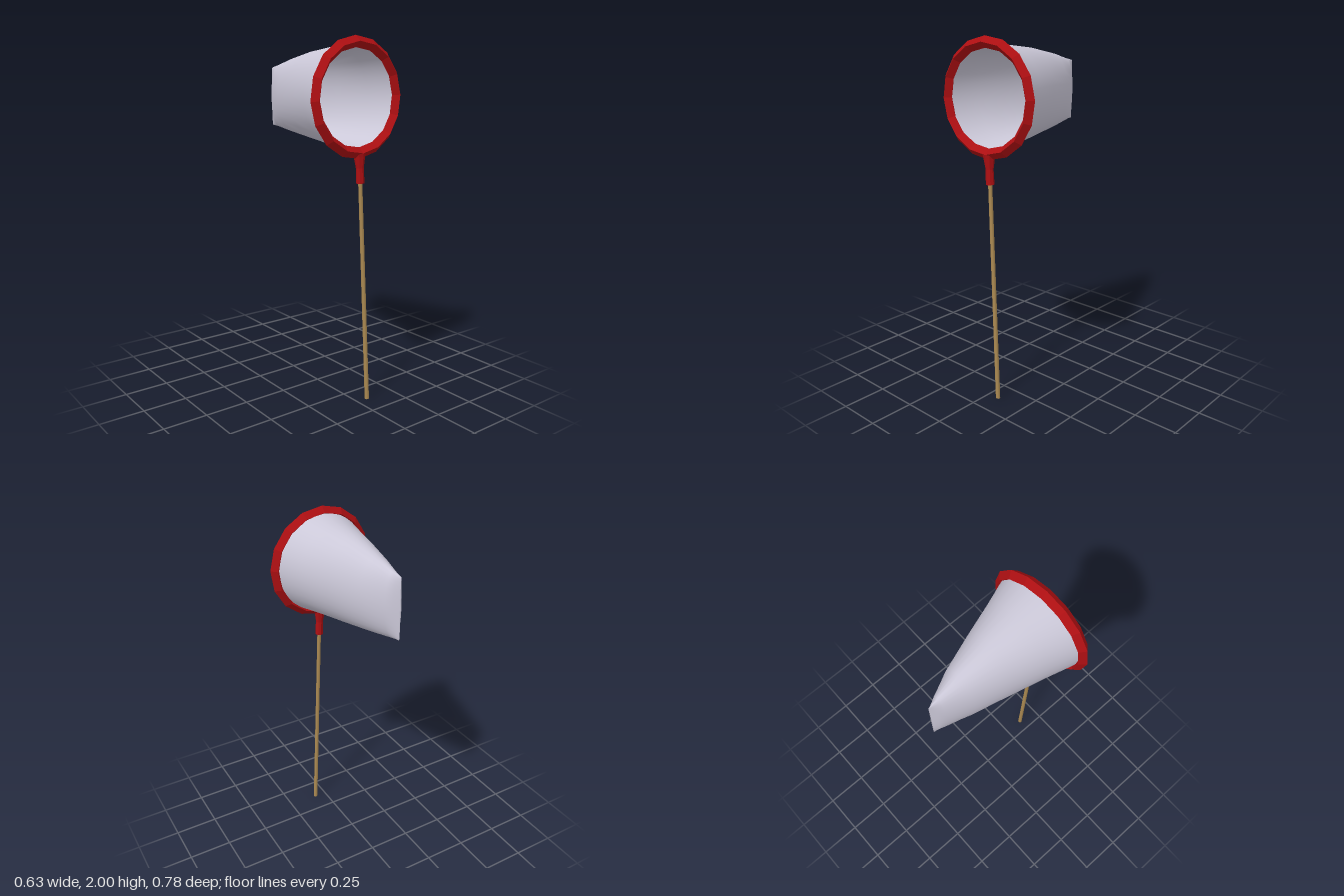
import * as THREE from 'three';

const redFaceted = (() => {
  const m = new THREE.MeshStandardMaterial({ color: 0xad0f12 });
  m.name = 'red plastic';
  m.flatShading = true;
  return m;
})();
const wood = new THREE.MeshStandardMaterial({ color: 0xac8a52 });
wood.name = 'wood';
const cloth = new THREE.MeshStandardMaterial({ color: 0xcbc8d8, side: THREE.DoubleSide });
cloth.name = 'pale cloth';

const lathe = (points, sides) =>
  new THREE.LatheGeometry(points.map(([r, y]) => new THREE.Vector2(r, y)), sides);

function part(name, geometry, material, parent) {
  const mesh = new THREE.Mesh(geometry, material);
  mesh.name = name;
  parent.add(mesh);
  return mesh;
}

// Bag: elliptical sections that narrow to a vertical fold at the back
function bagGeometry(center, slopeX, slopeY) {
  const sides = 32;
  // z, centre x, half width, centre y, half height
  const sections = [
    [0.345, -0.002, 0.278, 1.687, 0.281],
    [0.18, -0.008, 0.224, 1.69, 0.26],
    [0, -0.015, 0.17, 1.692, 0.238],
    [-0.2, -0.025, 0.108, 1.687, 0.205],
    [-0.33, -0.035, 0.05, 1.681, 0.178],
    [-0.365, -0.038, 0.026, 1.68, 0.172],
    [-0.39, -0.04, 0.003, 1.678, 0.168],
  ];
  const positions = [], index = [];
  sections.forEach(([z, cx, rx, cy, ry], row) => {
    const tilt = row === 0 ? 1 : row === 1 ? 0.5 : 0; // follow the leaning hoop
    for (let i = 0; i < sides; i++) {
      const a = (i / sides) * Math.PI * 2;
      const x = cx + rx * Math.cos(a), y = cy + ry * Math.sin(a);
      positions.push(x, y, z + tilt * (slopeX * (x - center.x) + slopeY * (y - center.y)));
      if (row === 0) continue;
      const j = (i + 1) % sides, p = (row - 1) * sides, q = row * sides;
      index.push(p + i, p + j, q + i, p + j, q + j, q + i);
    }
  });
  const g = new THREE.BufferGeometry();
  g.setAttribute('position', new THREE.Float32BufferAttribute(positions, 3));
  // Front-to-back rows, counter-clockwise sections: reverse so faces point outward
  for (let k = 0; k < index.length; k += 3) [index[k + 1], index[k + 2]] = [index[k + 2], index[k + 1]];
  g.setIndex(index);
  g.computeVertexNormals();
  return g;
}

export function createModel() {
  const model = new THREE.Group();
  model.name = 'handNet';

  // Hoop, socket and stick share one slightly leaning frame
  const center = new THREE.Vector3(-0.003, 1.685, 0.346);
  const frame = new THREE.Group();
  frame.name = 'frame';
  frame.position.copy(center);
  frame.rotation.set(-0.017, 0.047, 0.043);
  model.add(frame);

  // Hoop with a diamond cross-section
  const hoop = lathe([[0.255, 0], [0.285, -0.032], [0.316, 0], [0.285, 0.032], [0.255, 0]], 16);
  hoop.rotateX(Math.PI / 2);
  part('hoop', hoop, redFaceted, frame);

  // Socket flaring into the hoop
  const socket = lathe([[0, -0.446], [0.023, -0.446], [0.021, -0.365], [0.03, -0.305], [0.034, -0.285]], 8);
  part('socket', socket, redFaceted, frame);

  // Long thin stick
  const stick = new THREE.CylinderGeometry(0.011, 0.0125, 1.27, 8);
  part('stick', stick, wood, frame).position.y = -1.683 + 0.635;

  part('netBag', bagGeometry(center, -0.047, -0.017), cloth, model);
  return model;
}
